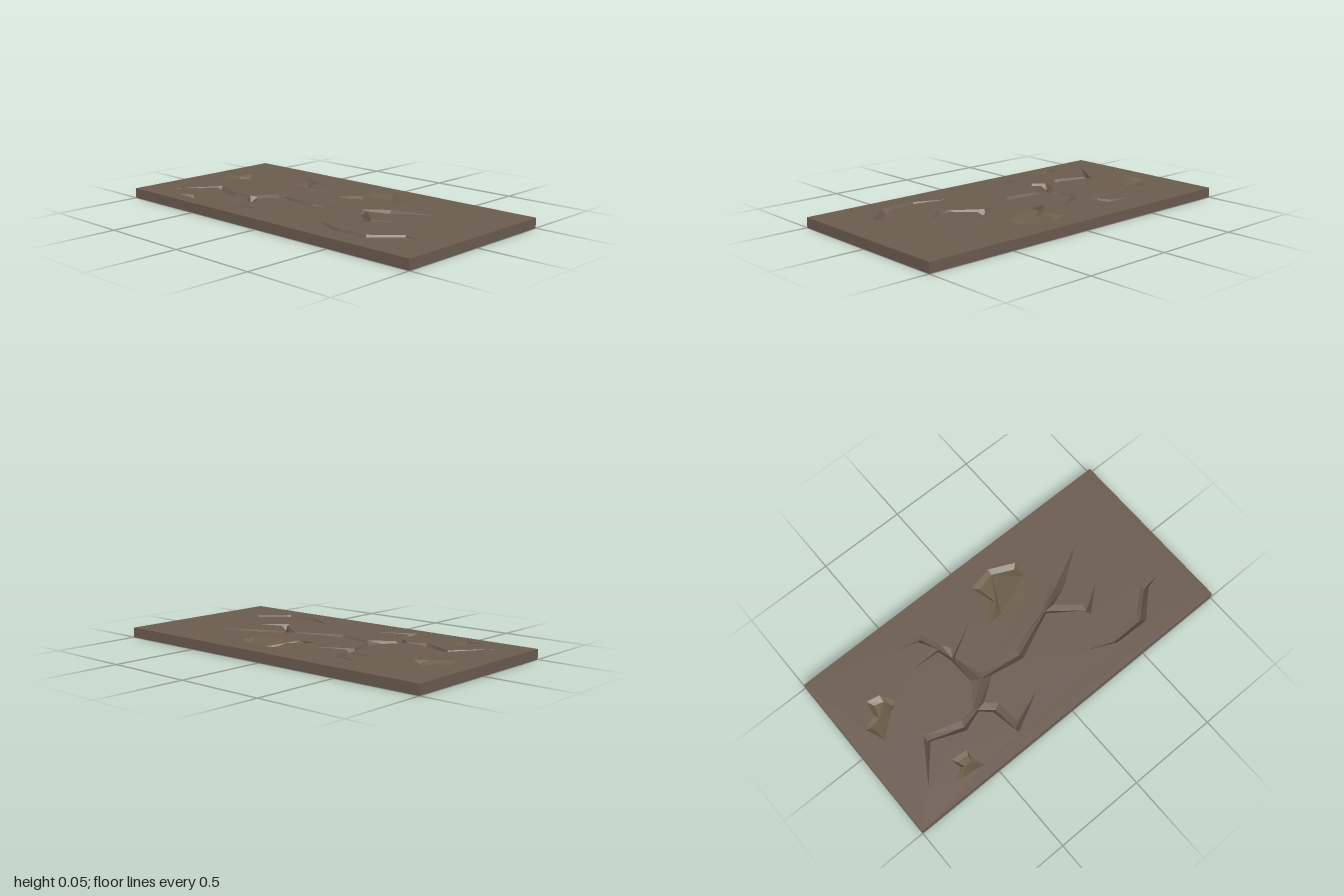
import * as THREE from 'three';

const TOP = 0.055;

// Every hollow: floor points [x, z, depth] and a rim [x, z, index of the floor point below].
const D = 0.035;
const branchingCrack = {
  name: 'branchingCrack', color: 0x6b5b4f,
  floor: [
    [-0.84, 0.35, 0], [-0.69, 0.145, D], [-0.495, 0.21, D], [-0.385, 0.182, D], [-0.26, 0.06, D],
    [-0.305, -0.125, D], [-0.5, -0.202, 0], [-0.33, -0.21, D], [-0.37, -0.315, D], [-0.51, -0.34, 0],
    [-0.11, -0.22, 0], [-0.02, 0.09, D], [0.25, -0.012, D], [0.385, -0.085, D], [0.625, -0.195, 0],
    [0.42, 0.13, D], [0.555, 0.05, 0], [-0.31, 0.245, D], [-0.295, 0.385, D], [-0.09, 0.31, 0]],
  rim: [
    [-0.84, 0.35, 0], [-0.69, 0.12, 1], [-0.49, 0.18, 2], [-0.4, 0.17, 3], [-0.315, 0.045, 4],
    [-0.325, -0.115, 5], [-0.345, -0.19, 7], [-0.5, -0.202, 6], [-0.355, -0.235, 7],
    [-0.395, -0.305, 8], [-0.51, -0.34, 9], [-0.355, -0.33, 8], [-0.31, -0.21, 7], [-0.28, -0.165, 5],
    [-0.11, -0.22, 10], [-0.3, -0.11, 5], [-0.245, 0.05, 4], [-0.02, 0.065, 11],
    [0.25, -0.025, 12], [0.37, -0.115, 13], [0.625, -0.195, 14], [0.41, -0.045, 13],
    [0.3, -0.005, 12], [0.42, 0.095, 15], [0.555, 0.05, 16], [0.42, 0.165, 15], [0.4, 0.125, 15],
    [0.235, 0.01, 12], [-0.02, 0.125, 11], [-0.21, 0.09, 4], [-0.335, 0.18, 3],
    [-0.28, 0.23, 17], [-0.27, 0.365, 18], [-0.09, 0.31, 19], [-0.3, 0.42, 18],
    [-0.335, 0.25, 17], [-0.39, 0.2, 3], [-0.5, 0.24, 2], [-0.68, 0.165, 1]],
};
const curvedCrack = {
  name: 'curvedCrack', color: 0x6b5b4f,
  floor: [[0.25, 0.3, 0], [0.42, 0.36, D], [0.61, 0.357, D], [0.75, 0.235, D], [0.84, 0.23, 0]],
  rim: [
    [0.25, 0.3, 0], [0.42, 0.34, 1], [0.6, 0.335, 2], [0.74, 0.21, 3],
    [0.84, 0.23, 4], [0.765, 0.25, 3], [0.62, 0.385, 2], [0.42, 0.38, 1]],
};

// A chip drops steeply at its back rim; its floor rises to meet the front rim.
const chip = (name, points) => ({
  name, color: 0x6c5e49, capped: true,
  rim: points.map(([x, z], i) => [x, z, i]),
  floor: points.map(([x, z, dx = 0, dz = 0]) => [x + dx, z + dz, dx || dz ? 0.022 : 0]),
});
const hollows = [
  branchingCrack, curvedCrack,
  chip('largeChip', [
    [0.02, -0.36, 0.035, 0.025], [0.16, -0.39, 0, 0.03], [0.3, -0.325, -0.025, 0.02],
    [0.285, -0.235], [0.195, -0.125], [0.05, -0.145], [-0.05, -0.14, 0.035, 0.0], [0.055, -0.245, 0.02, 0.025]]),
  chip('leftChip', [
    [-0.805, -0.215, 0.02, 0.035], [-0.73, -0.2, -0.005, 0.035], [-0.685, -0.12, -0.025, 0.005],
    [-0.75, -0.085], [-0.855, 0.01], [-0.9, -0.1, 0.035, 0.01], [-0.82, -0.13, 0.015, 0.025]]),
  chip('frontChip', [
    [-0.66, 0.31, 0.02, 0.025], [-0.565, 0.32, -0.01, 0.022], [-0.572, 0.365, -0.012, 0.01],
    [-0.54, 0.44], [-0.61, 0.425], [-0.71, 0.415, 0.045, 0], [-0.645, 0.37, 0.02, 0.01]]),
];

const material = (color, side = THREE.FrontSide) =>
  new THREE.MeshStandardMaterial({ color, side, flatShading: true });

// Turn loose triangles into a mesh, winding each so that it faces upward.
function upwardMesh(name, triangles, color) {
  const positions = [];
  const normal = new THREE.Vector3();
  for (const [a, b, c] of triangles) {
    const t = new THREE.Triangle(a, b, c);
    if (t.getArea() < 1e-7) continue;
    t.getNormal(normal);
    for (const p of normal.y < 0 ? [a, c, b] : [a, b, c]) positions.push(p.x, p.y, p.z);
  }
  const geometry = new THREE.BufferGeometry();
  geometry.setAttribute('position', new THREE.Float32BufferAttribute(positions, 3));
  geometry.computeVertexNormals();
  const mesh = new THREE.Mesh(geometry, material(color, THREE.DoubleSide));
  mesh.name = name;
  return mesh;
}

function makeHollow({ name, color, floor, rim, capped }) {
  const low = floor.map(([x, z, depth]) => new THREE.Vector3(x, TOP - depth, z));
  const high = rim.map(([x, z]) => new THREE.Vector3(x, TOP, z));
  const triangles = [];
  // sloping walls between rim and floor
  rim.forEach((r, i) => {
    const j = (i + 1) % rim.length;
    const fa = low[r[2]], fb = low[rim[j][2]];
    triangles.push([high[i], high[j], fb], [high[i], fb, fa]);
  });
  // floor of a chip
  if (capped) {
    const flat = low.map((p) => new THREE.Vector2(p.x, -p.z));
    for (const face of THREE.ShapeUtils.triangulateShape(flat, [])) triangles.push(face.map((i) => low[i]));
  }
  return upwardMesh(name, triangles, color);
}

export function createModel() {
  const group = new THREE.Group();
  group.name = 'crackedSlab';
  const slabMaterial = material(0x6b5b4f);

  // top face, pierced by the rims of the cracks and chips
  const face = new THREE.Shape([[-1, -0.5], [1, -0.5], [1, 0.5], [-1, 0.5]].map(([x, y]) => new THREE.Vector2(x, y)));
  for (const { rim } of hollows) face.holes.push(new THREE.Path(rim.map(([x, z]) => new THREE.Vector2(x, -z))));
  const top = new THREE.Mesh(new THREE.ShapeGeometry(face).rotateX(-Math.PI / 2).translate(0, TOP, 0), slabMaterial);
  top.name = 'slabTop';
  group.add(top);

  // sides and underside: a box without its top face
  const box = new THREE.BoxGeometry(2, TOP, 1).translate(0, TOP / 2, 0);
  const index = Array.from(box.index.array);
  index.splice(12, 6);
  box.setIndex(index);
  box.clearGroups();
  const body = new THREE.Mesh(box, slabMaterial);
  body.name = 'slabBody';
  group.add(body);

  for (const hollow of hollows) group.add(makeHollow(hollow));
  return group;
}
